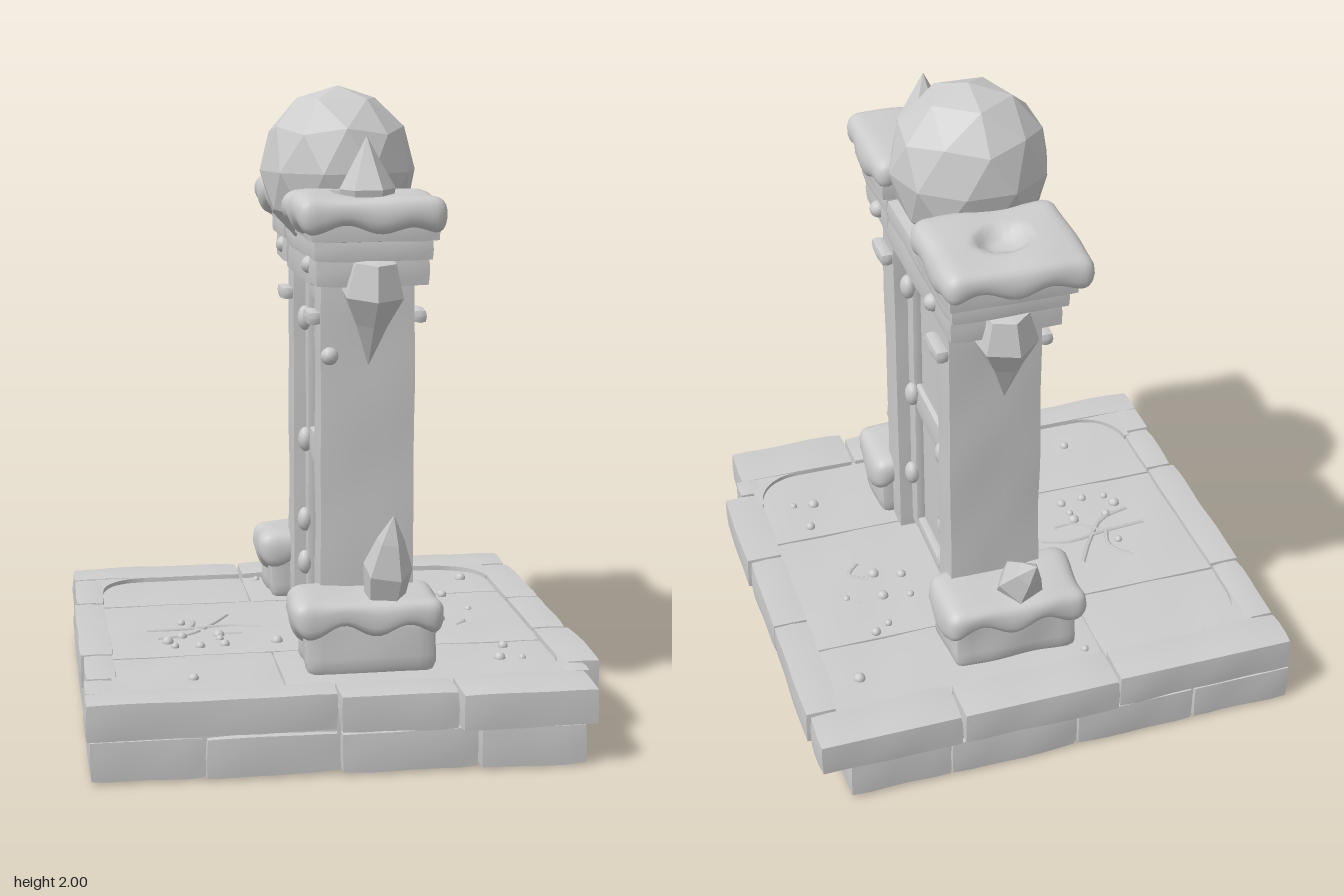
import * as THREE from 'three';
import { mergeVertices, toCreasedNormals } from 'three/addons/utils/BufferGeometryUtils.js';

const CX = 0.09; // the doorway stands a little to the side of the slab's centre
const stone = new THREE.MeshStandardMaterial({ color: 0xcccccc });
stone.name = 'palestone';

const wobble = (x, y, z) =>
  Math.sin(x * 17 + z * 9) * Math.cos(y * 15 + x * 6) + 0.6 * Math.sin(z * 23 + y * 11 + x * 5);

function add(parent, name, geometry, x = 0, y = 0, z = 0) {
  const mesh = new THREE.Mesh(geometry, stone);
  mesh.name = name;
  mesh.position.set(x, y, z);
  parent.add(mesh);
  return mesh;
}

// Worn stone block between two corners: rounded edges, slight surface noise, optional vertex rule
function block(parent, name, lo, hi, { r = 0.015, rough = 0.003, step = 0.06, crease = 0.6, rule } = {}) {
  const size = hi.map((v, i) => v - lo[i]);
  const mid = hi.map((v, i) => (v + lo[i]) / 2);
  const segs = size.map(s => Math.max(2, Math.round(s / step)));
  let g = new THREE.BoxGeometry(...size, ...segs);
  g.deleteAttribute('uv');
  g.deleteAttribute('normal');
  g = mergeVertices(g);
  const p = g.attributes.position, v = new THREE.Vector3(), c = new THREE.Vector3();
  const half = new THREE.Vector3(...size).multiplyScalar(0.5).subScalar(Math.min(r, ...size.map(s => s / 2)));
  for (let i = 0; i < p.count; i++) {
    v.fromBufferAttribute(p, i);
    c.copy(v).clamp(half.clone().negate(), half);
    const n = v.clone().sub(c).normalize();
    v.copy(c).addScaledVector(n, r);
    v.addScaledVector(n, rough * wobble(v.x + mid[0], v.y + mid[1], v.z + mid[2]));
    if (rule) rule(v, size);
    p.setXYZ(i, v.x, v.y, v.z);
  }
  g.computeVertexNormals();
  return add(parent, name, crease ? toCreasedNormals(g, crease) : g, ...mid);
}

// Faceted crystal pointing from its root to its tip
function crystal(parent, name, root, tip, radius, sides = 5, belly = 0.42, spin = 0.4) {
  const a = new THREE.Vector3(...root), d = new THREE.Vector3(...tip).sub(a), len = d.length();
  const profile = [[0.001, 0], [radius * 0.7, 0.02], [radius, belly], [radius * 0.55, belly + 0.27], [0.001, 1]]
    .map(([x, y]) => new THREE.Vector2(x, y * len));
  const g = new THREE.LatheGeometry(profile, sides, spin).toNonIndexed();
  g.computeVertexNormals();
  const m = add(parent, name, g, ...root);
  m.quaternion.setFromUnitVectors(new THREE.Vector3(0, 1, 0), d.normalize());
}

const knob = (parent, name, x, y, z, r, sx = 1, sy = 1, sz = 1) =>
  add(parent, name, new THREE.SphereGeometry(r, 12, 8), x, y, z).scale.set(sx, sy, sz);

// Thin raised vein between points
const vein = (parent, pts, r = 0.006) => add(parent, 'crack', new THREE.TubeGeometry(
  new THREE.CatmullRomCurve3(pts.map(p => new THREE.Vector3(...p))), 8, r, 5), 0, 0, 0);

function buildBase(root) {
  const base = new THREE.Group();
  base.name = 'base';
  root.add(base);
  block(base, 'foundation', [-0.77, 0, -0.77], [0.66, 0.2, 0.72], { rough: 0 });
  // lower course of bricks
  const lowX = [-0.8, -0.46, -0.06, 0.36, 0.69], lowZ = [-0.64, -0.3, 0.08, 0.4, 0.63];
  for (let i = 0; i < 4; i++) {
    block(base, 'lowerBrick', [lowX[i], 0, 0.6], [lowX[i + 1], 0.13, 0.73 + 0.017 * i]);
    block(base, 'lowerBrick', [lowX[i], 0, -0.79], [lowX[i + 1], 0.13, -0.62]);
    block(base, 'lowerBrick', [-0.8, 0, lowZ[i]], [-0.65, 0.13, lowZ[i + 1]]);
    block(base, 'lowerBrick', [0.55, 0, lowZ[i]], [0.7, 0.13, lowZ[i + 1]]);
  }
  // upper rim: x0, x1, z0, z1
  [
    [-0.8, -0.2, -0.79, -0.64], [-0.2, 0.32, -0.8, -0.64], [0.32, 0.78, -0.8, -0.64],
    [-0.8, -0.7, -0.64, -0.34], [-0.81, -0.7, -0.34, 0.24], [-0.8, -0.7, 0.24, 0.48], [-0.81, -0.7, 0.48, 0.62],
    [-0.81, -0.06, 0.61, 0.73], [-0.06, 0.3, 0.61, 0.765], [0.3, 0.72, 0.61, 0.8],
    [0.67, 0.79, -0.64, -0.2], [0.67, 0.79, -0.2, 0.16], [0.67, 0.8, 0.16, 0.53], [0.66, 0.74, 0.53, 0.62],
  ].forEach(([x0, x1, z0, z1]) => block(base, 'rimStone', [x0, 0.125, z0], [x1, 0.245, z1]));
  // rounded inner corners of the rim
  const R = 0.15, fillet = new THREE.Shape();
  fillet.moveTo(-0.02, -0.02);
  fillet.lineTo(R, -0.02);
  fillet.lineTo(R, 0);
  fillet.absarc(R, R, R, -Math.PI / 2, -Math.PI, true);
  fillet.lineTo(-0.02, R);
  const filletGeo = new THREE.ExtrudeGeometry(fillet, { depth: 0.1, bevelEnabled: false, curveSegments: 10 });
  filletGeo.rotateX(Math.PI / 2);
  [[-0.7, -0.64, 0], [0.67, -0.64, -1], [0.67, 0.61, 2], [-0.7, 0.61, 1]].forEach(([x, z, q]) => {
    add(base, 'rimCorner', filletGeo, x, 0.24, z).rotation.y = q * Math.PI / 2;
  });
  // floor slabs
  [[-0.72, -0.2, -0.66, -0.34], [-0.2, 0.69, -0.66, -0.34], [-0.72, 0.69, -0.34, 0.24],
    [-0.72, -0.2, 0.24, 0.63], [-0.2, 0.69, 0.24, 0.63]].forEach(([x0, x1, z0, z1]) =>
    block(base, 'floorSlab', [x0, 0.15, z0], [x1, 0.227, z1], { r: 0.01, rough: 0.002 }));
  // pebbles and cracks on the floor
  [[-0.46, -0.1], [-0.47, 0.05], [-0.52, 0.1], [-0.5, 0.15], [-0.42, 0.16], [-0.35, 0.05], [-0.35, 0.09], [-0.34, 0.15],
    [-0.17, 0.14], [0.31, -0.16], [0.31, -0.05], [0.4, -0.02], [0.42, -0.28], [0.47, -0.31], [0.4, -0.14], [0.52, -0.12],
    [0.54, 0.3], [0.5, 0.42], [0.57, 0.43], [-0.47, 0.48], [0.58, -0.51], [-0.15, -0.6]].forEach(([x, z], i) =>
    knob(base, 'pebble', x, 0.228, z, 0.013 + 0.003 * (i % 3)));
  [[[-0.58, -0.03], [-0.42, -0.04], [-0.3, -0.06], [-0.2, -0.03]], [[-0.48, -0.2], [-0.42, -0.12], [-0.44, -0.03]],
    [[-0.3, -0.18], [-0.36, -0.08], [-0.45, 0.03], [-0.55, 0.06]], [[-0.42, -0.03], [-0.34, 0.03], [-0.27, 0.03]],
    [[0.42, -0.04], [0.48, 0], [0.44, 0.05]], [[0.48, -0.16], [0.54, -0.1]]].forEach(line =>
    vein(base, line.map(([x, z]) => [x, 0.225, z]), 0.008));
}

function buildDoor(root) {
  const door = new THREE.Group();
  door.name = 'door';
  root.add(door);
  block(door, 'doorPanel', [CX - 0.08, 0.24, -0.28], [CX + 0.08, 1.42, 0.21], { rough: 0 });
  // both faces carry the same frame and fittings
  for (const s of [-1, 1]) {
    const bar = (name, y0, y1, z0, z1, depth, r = 0.012) => {
      const xs = [CX + s * 0.07, CX + s * depth].sort((a, b) => a - b);
      block(door, name, [xs[0], y0, z0], [xs[1], y1, z1], { r, rough: 0.001 });
    };
    bar('doorStile', 0.26, 1.39, 0.13, 0.2, 0.11);
    bar('doorStile', 0.26, 1.39, -0.27, -0.2, 0.11);
    bar('doorRail', 1.31, 1.39, -0.22, 0.15, 0.108);
    bar('doorRail', 0.26, 0.31, -0.22, 0.15, 0.108);
    bar('crossRail', 0.76, 0.87, -0.22, 0.14, 0.11, 0.02);
    [[1.23, 0.155], [0.49, 0.155], [0.83, 0.13], [1.23, -0.22], [0.82, -0.21], [0.54, -0.225], [0.39, -0.225]]
      .forEach(([y, z]) => knob(door, 'doorStud', CX + s * 0.115, y, z, 0.032, 0.8, 1.3, 1));
    vein(door, [[CX + s * 0.08, 1.06, 0.1], [CX + s * 0.08, 1.1, 0], [CX + s * 0.08, 1.17, -0.08]], 0.004);
    vein(door, [[CX + s * 0.08, 0.43, -0.04], [CX + s * 0.08, 0.57, -0.17]], 0.004);
  }
}

// Uneven, dripping lower edge; optional round hollow in the top
const drip = (amount, hollow) => (v, [w, h, d]) => {
  const lower = THREE.MathUtils.clamp(0.5 - v.y / h, 0, 1);
  v.y -= amount * lower * (Math.sin(v.x * 31 + 1) + Math.sin(v.z * 27 + 2));
  if (hollow && v.y > h * 0.2) {
    const q = Math.hypot(v.x + 0.005, v.z) / 0.085;
    if (q < 1) v.y -= 0.04 * (1 - q ** 4);
  }
};

function buildPillar(root, s) {
  const pillar = new THREE.Group();
  pillar.name = s > 0 ? 'frontPillar' : 'backPillar';
  root.add(pillar);
  // offsets run outward from the middle of the doorway
  const Z = o => -0.03 + s * o;
  const b = (name, x0, x1, y0, y1, o0, o1, opts) => {
    const zs = [Z(o0), Z(o1)].sort((a, c) => a - c);
    return block(pillar, name, [x0, y0, zs[0]], [x1, y1, zs[1]], opts);
  };
  const soft = { r: 0.045, rough: 0.006, step: 0.02, crease: 0 };
  b('shaft', -0.06, 0.24, 0.22, 1.44, 0.235, 0.37, { r: 0.012, rough: 0.002 });
  for (const x of [-0.075, 0.255]) b('collar', x - 0.025, x + 0.025, 1.28, 1.33, 0.235, 0.37, { r: 0.02, rough: 0 });
  // foot with a sagging cap
  b('foot', -0.13, 0.28, 0.22, 0.42, 0.32, 0.54, { r: 0.03, rough: 0.006, step: 0.03 });
  b('footCap', -0.165, 0.305, 0.34, 0.46, 0.295, 0.57, { ...soft, rule: drip(0.02) });
  // stepped capital with a sagging cap
  b('capitalLower', -0.09, 0.265, 1.41, 1.5, 0.2, 0.47);
  b('capitalMiddle', -0.1, 0.27, 1.49, 1.56, 0.19, 0.5);
  b('capitalUpper', -0.115, 0.285, 1.55, 1.63, 0.18, 0.53);
  b('capitalCap', -0.155, 0.3, 1.59, 1.69, 0.17, 0.575, { ...soft, rule: drip(0.014, true) });
  // round beads at the capital and shaft
  for (const x of [-0.08, 0.265]) knob(pillar, 'bead', x, 1.465, Z(0.3), 0.028);
  if (s > 0) knob(pillar, 'bead', -0.03, 1.19, 0.34, 0.028);
}

export function createModel() {
  const root = new THREE.Group();
  root.name = 'crystalDoorway';
  buildBase(root);
  buildDoor(root);
  buildPillar(root, 1);
  buildPillar(root, -1);
  // beam joining the capitals
  block(root, 'lintel', [-0.08, 1.39, -0.3], [0.26, 1.49, 0.24]);
  block(root, 'lintelTop', [-0.09, 1.48, -0.3], [0.265, 1.55, 0.24]);

  // crystals on the feet, under the capitals and on the front capital
  crystal(root, 'frontFootCrystal', [0.12, 0.36, 0.42], [0.14, 0.725, 0.52], 0.08, 5, 0.5);
  crystal(root, 'backFootCrystal', [0.06, 0.37, -0.42], [0.03, 0.63, -0.625], 0.075, 5, 0.5);
  crystal(root, 'frontHangingCrystal', [0.09, 1.5, 0.45], [0.08, 1.17, 0.4], 0.1, 6, 0.33);
  crystal(root, 'backHangingCrystal', [0.09, 1.5, -0.49], [0.08, 1.17, -0.45], 0.1, 6, 0.33);
  crystal(root, 'topCrystal', [0.08, 1.6, 0.385], [0.075, 1.86, 0.385], 0.085, 6, 0.4);

  // large faceted gem on the beam
  const gem = new THREE.IcosahedronGeometry(0.25, 1);
  gem.rotateZ(-0.5536).rotateY(0.3).scale(1, 1.06, 1);
  gem.computeVertexNormals();
  add(root, 'gem', gem, 0.05, 1.735, -0.01);
  return root;
}
